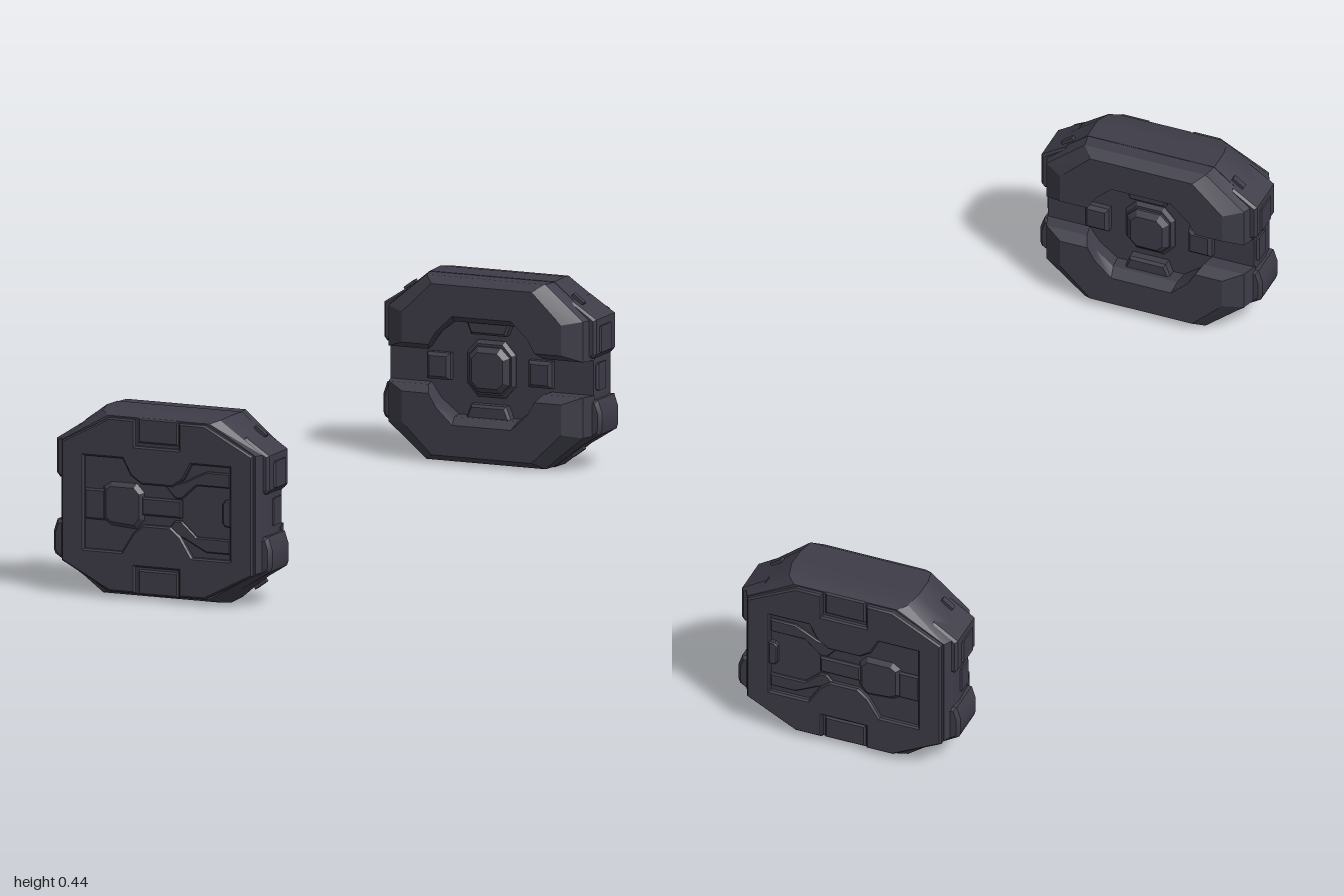
import * as THREE from 'three';
import { toCreasedNormals } from 'three/addons/utils/BufferGeometryUtils.js';

const MID = 0.222; // height of the horizontal symmetry line

// Bevelled prism from an xy outline, between z0 and z1; bevels stay inside the outline
function prism(points, z0, z1, bevel = 0.004, holes = [], bevelDepth = bevel) {
  const shape = new THREE.Shape(points.map(p => new THREE.Vector2(p[0], p[1])));
  for (const h of holes) shape.holes.push(new THREE.Path(h.map(p => new THREE.Vector2(p[0], p[1]))));
  const geo = new THREE.ExtrudeGeometry(shape, {
    depth: z1 - z0 - 2 * bevelDepth, bevelEnabled: bevel > 0, bevelThickness: bevelDepth,
    bevelSize: bevel, bevelOffset: -bevel, bevelSegments: 1, curveSegments: 4,
  });
  return geo.translate(0, 0, z0 + bevelDepth);
}

const rect = (x0, x1, y0, y1) => [[x0, y0], [x1, y0], [x1, y1], [x0, y1]];
const flipX = pts => pts.map(([x, y]) => [-x, y]);
const flipY = pts => pts.map(([x, y]) => [x, 2 * MID - y]);

// Eight-sided outline, counter-clockwise
function octagon(a, w, yb, ybc, ytc, yt) {
  return [[-a, yb], [a, yb], [w, ybc], [w, ytc], [a, yt], [-a, yt], [-w, ytc], [-w, ybc]];
}

// Shell lofted through outlines given from low z to high z, capped at both ends
function loft(rings) {
  const pos = [], n = rings[0].pts.length;
  const v = (r, i) => [...rings[r].pts[i % n], rings[r].z];
  for (let r = 0; r < rings.length - 1; r++)
    for (let i = 0; i < n; i++)
      pos.push(...v(r, i), ...v(r, i + 1), ...v(r + 1, i + 1), ...v(r, i), ...v(r + 1, i + 1), ...v(r + 1, i));
  const last = rings.length - 1;
  for (let i = 1; i < n - 1; i++) {
    pos.push(...v(0, 0), ...v(0, i + 1), ...v(0, i));
    pos.push(...v(last, 0), ...v(last, i), ...v(last, i + 1));
  }
  const geo = new THREE.BufferGeometry();
  geo.setAttribute('position', new THREE.Float32BufferAttribute(pos, 3));
  return geo;
}

// Copy mirrored in z, with the corner order turned round
function mirrorZ(geo) {
  const g = geo.clone().scale(1, 1, -1), p = g.attributes.position;
  const a = new THREE.Vector3(), b = new THREE.Vector3();
  for (let i = 0; i < p.count; i += 3) {
    a.fromBufferAttribute(p, i + 1);
    b.fromBufferAttribute(p, i + 2);
    p.setXYZ(i + 1, b.x, b.y, b.z);
    p.setXYZ(i + 2, a.x, a.y, a.z);
  }
  return g;
}

export function createModel() {
  const model = new THREE.Group();
  const metal = new THREE.MeshStandardMaterial({ color: 0x3d3c48 });
  const frontBlock = new THREE.Group(), backBlock = new THREE.Group();
  frontBlock.name = 'frontBlock';
  backBlock.name = 'backBlock';
  model.add(frontBlock, backBlock);

  function add(name, geo) {
    const flat = geo.index ? geo.toNonIndexed() : geo;
    for (const [group, src] of [[frontBlock, flat], [backBlock, mirrorZ(flat)]]) {
      src.deleteAttribute('normal');
      src.computeVertexNormals();
      const mesh = new THREE.Mesh(toCreasedNormals(src, 0.4), metal);
      mesh.name = name;
      group.add(mesh);
    }
  }

  // Main body
  add('body', loft([
    { z: 0.87, pts: octagon(0.16, 0.26, 0.002, 0.088, 0.36, 0.442) },
    { z: 0.93, pts: octagon(0.16, 0.264, 0, 0.088, 0.364, 0.444) },
    { z: 0.97, pts: octagon(0.15, 0.258, 0.006, 0.086, 0.364, 0.438) },
    { z: 0.988, pts: octagon(0.13, 0.248, 0.014, 0.084, 0.364, 0.431) },
  ]));

  // Outer plate, notched at top and bottom, with an H-shaped recess
  const upperRim = [[0.24, 0.364], [0.12, 0.428], [0.055, 0.428], [0.055, 0.365],
    [-0.055, 0.365], [-0.055, 0.428], [-0.12, 0.428], [-0.24, 0.364]];
  const plate = [...upperRim, ...flipY(upperRim).reverse()].map(([x, y]) => [x * 1.02, y]);
  const upperH = [[0.187, 0.333], [0.088, 0.333], [0.068, 0.295], [0.04, 0.276],
    [-0.04, 0.276], [-0.068, 0.295], [-0.088, 0.333], [-0.187, 0.333]];
  const tabNotch = [[-0.187, 0.112], [-0.09, 0.112], [-0.06, 0.16], [-0.035, 0.18],
    [0.035, 0.18], [0.06, 0.16], [0.09, 0.112], [0.187, 0.112]];
  add('outerPlate', prism(plate, 0.978, 1, 0.004, [[...upperH, ...tabNotch]]));

  // Sloped latches in the plate notches
  const latch = rect(-0.051, 0.051, 0.372, 0.432);
  for (const pts of [latch, flipY(latch)]) add('latch', prism(pts, 0.975, 0.992, 0.004));

  // Raised parts inside the H recess
  add('recessKnob', prism([[-0.14, 0.185], [-0.12, 0.172], [-0.055, 0.167], [-0.036, 0.19],
    [-0.036, 0.255], [-0.055, 0.275], [-0.12, 0.275], [-0.14, 0.262]], 0.98, 0.999, 0.01));
  add('recessStrip', prism(rect(-0.187, -0.135, 0.182, 0.255), 0.98, 0.994));
  add('recessBar', prism(rect(-0.04, 0.062, 0.202, 0.245), 0.98, 0.996));
  const arm = [[0.02, 0.276], [0.045, 0.248], [0.062, 0.248], [0.1, 0.283], [0.187, 0.283],
    [0.187, 0.318], [0.125, 0.318], [0.098, 0.305], [0.07, 0.29]];
  add('upperArm', prism(arm, 0.98, 0.995, 0.003));
  add('lowerArm', prism(flipY(arm), 0.98, 0.995, 0.003));
  add('recessTab', prism([[0.168, 0.2], [0.175, 0.192], [0.19, 0.192], [0.19, 0.255],
    [0.175, 0.255], [0.168, 0.247]], 0.98, 1, 0.003));

  // Inner rims around the cavity, narrowing in x towards the inner face
  const rim = [[0.262, 0.264], [0.262, 0.36], [0.16, 0.441], [-0.16, 0.441], [-0.262, 0.36],
    [-0.262, 0.264], [-0.155, 0.264], [-0.13, 0.3], [-0.085, 0.335], [0.085, 0.335],
    [0.13, 0.3], [0.155, 0.264]];
  for (const [name, pts] of [['upperInnerRim', rim], ['lowerInnerRim', flipY(rim)]]) {
    const geo = prism(pts, 0.81, 0.9, 0.016, [], 0.025), p = geo.attributes.position;
    for (let i = 0; i < p.count; i++) {
      const z = p.getZ(i);
      p.setX(i, p.getX(i) * (z < 0.82 ? 0.83 : z < 0.85 ? 0.95 : 1));
    }
    add(name, geo);
  }

  // Dish and slot ledges in the cavity
  add('cavityDish', prism(octagon(0.035, 0.062, 0.155, 0.185, 0.26, 0.29), 0.86, 0.888 - 0.036 + 0.03, 0.008));
  add('cavityKnob', prism(octagon(0.03, 0.052, 0.168, 0.19, 0.254, 0.276), 0.842, 0.88, 0.012));
  const ledge = [[-0.06, 0.345], [0.06, 0.345], [0.045, 0.305], [-0.045, 0.305]];
  for (const pts of [ledge, flipY(ledge)]) add('cavityLedge', prism(pts, 0.845, 0.88, 0.006));

  // Side pods, middle blocks, channel steps and corner slots
  const upperPod = [[0.2, 0.27], [0.264, 0.27], [0.272, 0.28], [0.272, 0.362], [0.21, 0.402]];
  const lowerPod = [[0.2, 0.04], [0.276, 0.088], [0.28, 0.1], [0.28, 0.14], [0.27, 0.17], [0.2, 0.17]];
  for (const s of [1, -1]) {
    const side = pts => (s > 0 ? pts : flipX(pts));
    add('upperPod', prism(side(upperPod), 0.855, 0.968, 0.006));
    add('lowerPod', prism(side(lowerPod), 0.865, 0.972, 0.008));
    add('podCap', prism(side(rect(0.2, 0.276, 0.282, 0.345)), 0.875, 0.94, 0.005));
    add('middleBlock', prism(side(rect(0.22, 0.267, 0.19, 0.255)), 0.88, 0.93, 0.005));
    add('channelStep', prism(side(rect(0.1, 0.16, 0.19, 0.254)), 0.848, 0.88, 0.008));
    for (const up of [1, -1]) {
      const slot = new THREE.BoxGeometry(0.034, 0.008, 0.014);
      slot.rotateZ(-0.63 * s * up).translate(0.215 * s, MID + 0.181 * up, 0.885);
      add('cornerSlot', slot);
    }
  }
  return model;
}
